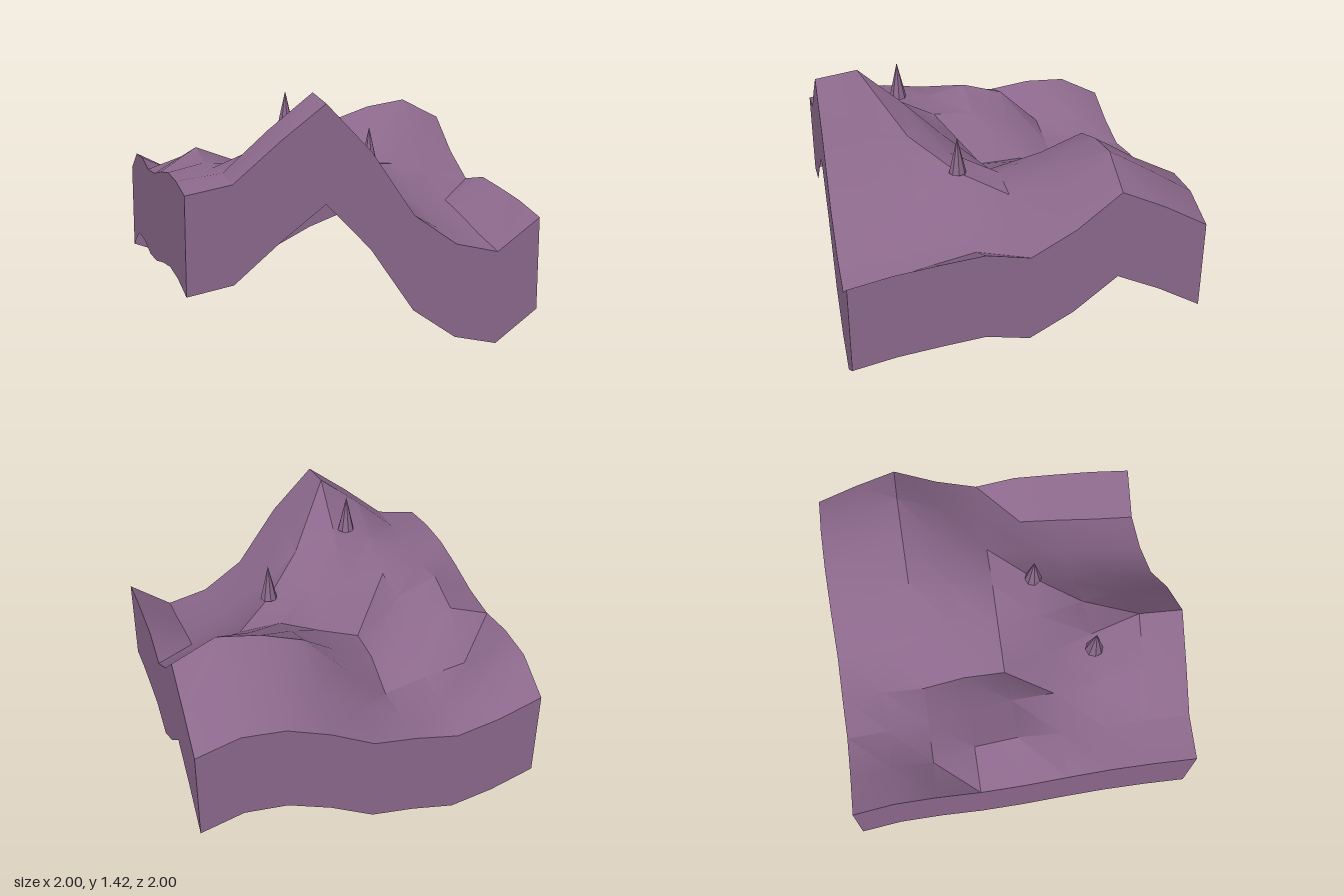
import * as THREE from 'three';
import { toCreasedNormals } from 'three/addons/utils/BufferGeometryUtils.js';

const N = 8;          // cells per side
const STEP = 2 / N;
const DEPTH = 0.53;   // height of the side walls

// Ground heights, one row per z from back (-1) to front (+1), x from -1 to +1
const HEIGHTS = [
  [0.78, 0.685, 0.625, 0.67, 0.695, 0.82, 0.91, 0.925, 0.845],
  [0.91, 0.78, 0.66, 0.65, 0.75, 0.94, 1.04, 1.085, 0.99],
  [0.92, 0.735, 0.685, 0.62, 0.85, 1.11, 1.195, 1.235, 1.11],
  [0.885, 0.97, 0.85, 0.72, 0.83, 1.01, 1.05, 1.03, 0.91],
  [0.90, 1.045, 0.95, 0.71, 0.80, 0.905, 0.89, 0.83, 0.77],
  [0.95, 0.99, 0.97, 0.95, 0.94, 0.935, 0.78, 0.69, 0.82],
  [0.985, 1.00, 1.10, 1.20, 1.08, 0.83, 0.70, 0.64, 0.795],
  [0.98, 1.01, 1.23, 1.425, 1.13, 0.79, 0.63, 0.58, 0.765],
  [0.945, 0.99, 1.20, 1.39, 1.13, 0.77, 0.595, 0.535, 0.715],
];

const point = (col, row) => [-1 + col * STEP, HEIGHTS[row][col], -1 + row * STEP];

// Rolling top surface
function groundGeometry() {
  const g = new THREE.PlaneGeometry(2, 2, N, N).rotateX(-Math.PI / 2);
  const p = g.attributes.position;
  for (let i = 0; i < p.count; i++) {
    p.setY(i, HEIGHTS[Math.floor(i / (N + 1))][i % (N + 1)]);
  }
  g.computeVertexNormals();
  return toCreasedNormals(g, 0.5);
}

// Side wall hanging from one edge; cell(i) gives the grid place along it
function wallGeometry(cell) {
  const pos = [], index = [];
  for (let i = 0; i <= N; i++) {
    const [x, y, z] = point(...cell(i));
    pos.push(x, y, z, x, y - DEPTH, z);
    if (i < N) {
      const a = 2 * i;
      index.push(a, a + 1, a + 2, a + 2, a + 1, a + 3);
    }
  }
  const g = new THREE.BufferGeometry();
  g.setAttribute('position', new THREE.Float32BufferAttribute(pos, 3));
  g.setIndex(index);
  g.computeVertexNormals();
  return g;
}

export function createModel() {
  const model = new THREE.Group();
  model.name = 'terrainTile';
  const earth = new THREE.MeshStandardMaterial({ color: 0x8b688b, side: THREE.DoubleSide });
  earth.name = 'dusty mauve';

  const add = (name, geometry) => {
    const mesh = new THREE.Mesh(geometry, earth);
    mesh.name = name;
    model.add(mesh);
    return mesh;
  };

  add('ground', groundGeometry());

  // Four walls, open underneath
  add('frontWall', wallGeometry((i) => [i, N]));
  add('leftWall', wallGeometry((i) => [N, N - i]));
  add('backWall', wallGeometry((i) => [N - i, 0]));
  add('rightWall', wallGeometry((i) => [0, i]));

  // Small pointed rocks standing on the slope
  const spike = toCreasedNormals(new THREE.ConeGeometry(0.052, 0.222, 8), 0.5);
  for (const [name, x, y, z] of [
    ['valleySpike', 0.25, 0.937, 0.25],
    ['ridgeSpike', -0.335, 1.19, 0.5],
  ]) {
    add(name, spike).position.set(x, y + 0.111, z);
  }
  return model;
}
